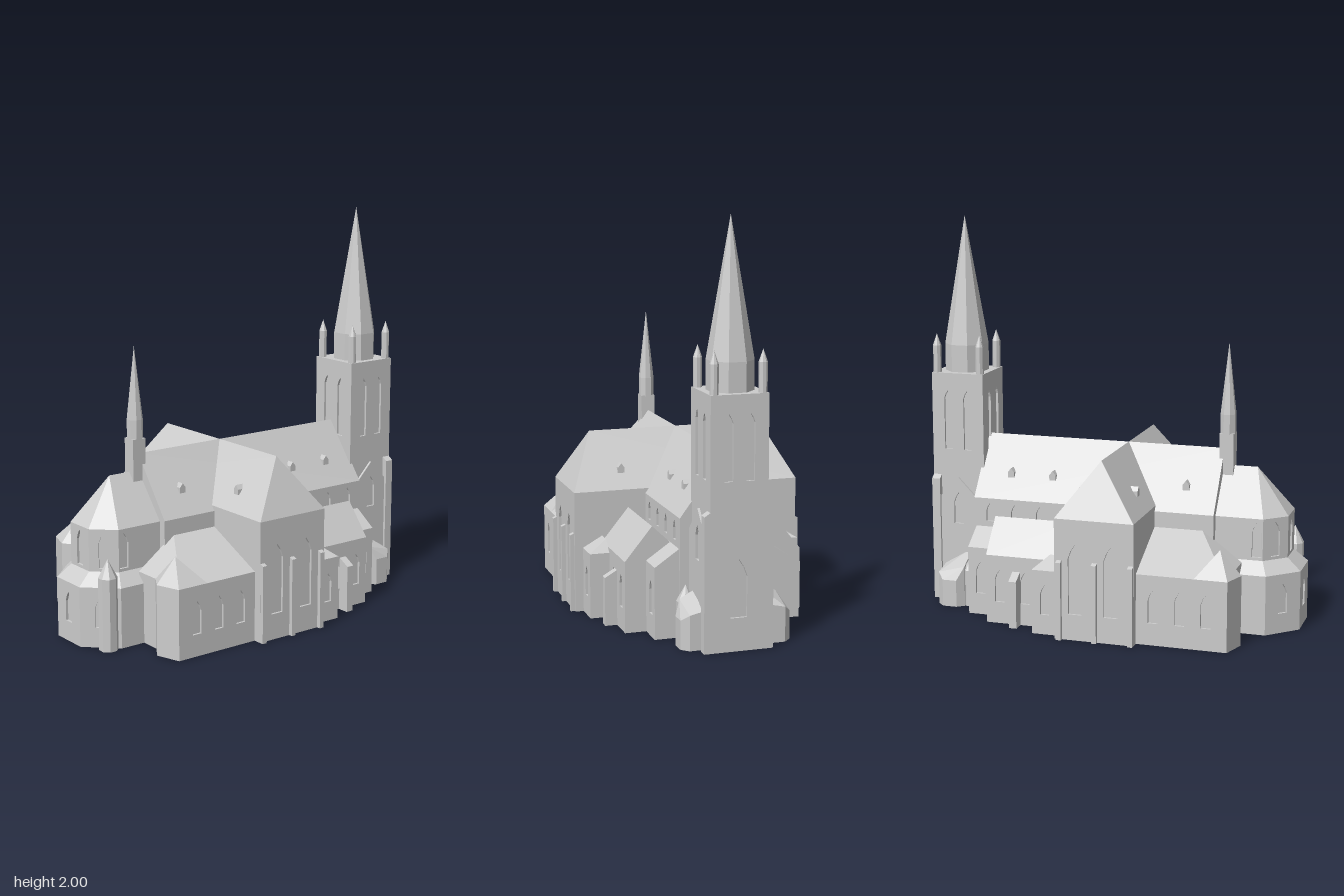
import * as THREE from 'three';
import { ConvexGeometry } from 'three/addons/geometries/ConvexGeometry.js';

const stone = new THREE.MeshStandardMaterial({ color: 0xcccccc, flatShading: true });
stone.name = 'pale stone';
const RECESS = 0.012;

function add(parent, name, geometry) {
  const mesh = new THREE.Mesh(geometry, stone);
  mesh.name = name;
  parent.add(mesh);
  return mesh;
}

function group(parent, name) {
  const g = new THREE.Group();
  g.name = name;
  parent.add(g);
  return g;
}

// Solid spanned by corner points [x, y, z]
const hull = (pts) => new ConvexGeometry(pts.map((p) => new THREE.Vector3(...p)));
const atHeight = (plan, y) => plan.map(([x, z]) => [x, y, z]);
const flipZ = (pts, s) => pts.map(([x, y, z]) => [x, y, s * z]);

const polygon = (pts) => new THREE.Shape(pts.map((p) => new THREE.Vector2(...p)));

// Pointed window outline: centre u, width w, from y0 to the tip y1
function lancet([u, w, y0, y1]) {
  const h = w / 2;
  return polygon([[u - h, y0], [u + h, y0], [u + h, y1 - w], [u + h * 0.6, y1 - w * 0.45],
    [u, y1], [u - h * 0.6, y1 - w * 0.45], [u - h, y1 - w]]);
}

// Upright wall from plan point a to b, with recessed windows; outline may replace the rectangle
function wall(parent, a, b, y0, y1, windows = [], outline = null) {
  const d = new THREE.Vector3(b[0] - a[0], 0, b[1] - a[1]);
  const h = d.length() / 2;
  d.normalize();
  const up = new THREE.Vector3(0, 1, 0);
  const n = d.clone().cross(up);
  const corners = outline || [[-h, y0], [h, y0], [h, y1], [-h, y1]];
  const shape = polygon(corners);
  shape.holes = windows.map(lancet);
  const pieces = [
    add(parent, 'wall', new THREE.ExtrudeGeometry(shape, { depth: RECESS, bevelEnabled: false })),
  ];
  if (windows.length) pieces.push(add(parent, 'windowRecess', new THREE.ShapeGeometry(polygon(corners))));
  for (const m of pieces) {
    const mid = new THREE.Vector3((a[0] + b[0]) / 2, 0, (a[1] + b[1]) / 2);
    m.applyMatrix4(new THREE.Matrix4().makeBasis(d, up, n).setPosition(mid.addScaledVector(n, -RECESS)));
  }
}

// Walls round a plan of [x, z] points; windows are listed by edge number; s = -1 mirrors to the back
function body(parent, name, plan, y0, y1, windows = {}, s = 1) {
  const g = group(parent, name);
  const pts = plan.map(([x, z]) => [x, s * z]);
  plan.forEach((_, i) => {
    const a = pts[i];
    const b = pts[(i + 1) % pts.length];
    const list = (windows[i] || []).map(([u, ...r]) => [s * u, ...r]);
    if (s > 0) wall(g, a, b, y0, y1, list);
    else wall(g, b, a, y0, y1, list);
  });
  const floor = new THREE.ShapeGeometry(polygon(pts));
  floor.rotateX(Math.PI / 2);
  add(g, 'floor', floor.translate(0, y0, 0));
  return g;
}

const rect = (x0, x1, z0, z1) => [[x0, z1], [x1, z1], [x1, z0], [x0, z0]];

// Eight-sided shaft with a pointed roof
function turret(parent, name, x, z, r, y0, yEave, yTip) {
  const g = group(parent, name);
  const shaft = new THREE.CylinderGeometry(r, r, yEave - y0, 8).rotateY(Math.PI / 8);
  add(g, 'shaft', shaft.translate(x, (y0 + yEave) / 2, z));
  const cone = new THREE.ConeGeometry(r, yTip - yEave, 8).rotateY(Math.PI / 8);
  add(g, 'spire', cone.translate(x, (yEave + yTip) / 2, z));
}

// Block whose top slopes from yBack down to yFront
function buttress(parent, x, w, zBack, zFront, yBack, yFront) {
  const pts = [];
  for (const px of [x - w / 2, x + w / 2]) {
    pts.push([px, 0, zBack], [px, yBack, zBack], [px, 0, zFront], [px, yFront, zFront]);
  }
  add(parent, 'buttress', hull(pts));
}

// Small gabled roof window, facing along `angle` about y
function dormer(parent, x, y, z, angle) {
  const pts = [];
  for (const pz of [-0.06, 0.015]) {
    pts.push([-0.017, -0.015, pz], [0.017, -0.015, pz], [0.017, 0.012, pz], [-0.017, 0.012, pz], [0, 0.033, pz]);
  }
  const m = add(parent, 'dormer', hull(pts));
  m.position.set(x, y, z);
  m.rotation.y = angle;
}

export function createModel() {
  const church = new THREE.Group();
  church.name = 'church';

  // Nave with clerestory windows
  const clerestory = [0.21, 0.345, 0.48, 0.615].map((x) => [x - 0.07, 0.04, 0.46, 0.555]);
  const nave = body(church, 'nave', rect(-0.56, 0.7, -0.22, 0.22), 0, 0.58,
    { 0: clerestory, 2: clerestory.map(([u, ...r]) => [-u, ...r]) });
  add(nave, 'naveRoof', hull([...atHeight(rect(-0.56, 0.7, -0.22, 0.22), 0.58), [-0.56, 0.875, 0], [0.7, 0.875, 0]]));

  // Transept with hipped ends
  const tall = [[-0.095, 0.07, 0.13, 0.48], [0.085, 0.07, 0.13, 0.48]];
  const crossPlan = rect(-0.26, 0.14, -0.585, 0.585);
  const transept = body(church, 'transept', crossPlan, 0, 0.605, { 0: tall, 2: tall });
  add(transept, 'transeptRoof', hull([...atHeight(crossPlan, 0.605), [-0.06, 0.875, 0.455], [-0.06, 0.875, -0.455]]));

  // Choir, polygonal apse and the lower ambulatory round it
  const outer = [[-0.56, -0.24], [-0.83, -0.24], [-0.975, -0.1], [-0.975, 0.1], [-0.83, 0.24], [-0.56, 0.24]];
  const inner = [[-0.56, -0.18], [-0.8, -0.18], [-0.905, -0.08], [-0.905, 0.08], [-0.8, 0.18], [-0.56, 0.18]];
  const low = [[0, 0.05, 0.1, 0.25]];
  const high = [[0, 0.05, 0.375, 0.55]];
  const ambulatory = body(church, 'ambulatory', outer, 0, 0.3, { 1: low, 2: low, 3: low });
  add(ambulatory, 'ambulatoryRoof', hull([...atHeight(outer, 0.3), ...atHeight(inner, 0.36)]));
  const choir = body(church, 'choir', inner, 0.3, 0.57, {
    0: [[0.09, 0.05, 0.375, 0.55]], 1: high, 2: high, 3: high, 4: [[-0.09, 0.05, 0.375, 0.55]],
  });
  add(choir, 'choirRoof', hull([...atHeight(inner, 0.57), [-0.73, 0.79, 0], [-0.56, 0.79, 0]]));
  turret(church, 'stairTurret', -0.885, 0.21, 0.047, 0, 0.36, 0.45);

  // Ridge turret
  add(church, 'ridgeTurretBase', new THREE.BoxGeometry(0.072, 0.4, 0.072).translate(-0.577, 0.755, 0));
  turret(church, 'ridgeTurret', -0.577, 0, 0.04, 0.95, 1.05, 1.41);

  // Side parts, front and back
  for (const s of [1, -1]) {
    const side = group(church, s > 0 ? 'frontSide' : 'backSide');
    const roof = (parent, name, pts) => add(parent, name, hull(flipZ(pts, s)));

    // Side chapel beside the choir
    const chapelPlan = [[-0.7, 0.2], [-0.7, 0.34], [-0.75, 0.42], [-0.71, 0.543], [-0.26, 0.543], [-0.26, 0.2]];
    const choirChapel = body(side, 'choirChapel', chapelPlan, 0, 0.35,
      { 3: [-0.12, 0.01, 0.14].map((u) => [u, 0.05, 0.11, 0.275]) }, s);
    roof(choirChapel, 'chapelRoof', [...atHeight(rect(-0.7, -0.26, 0.2, 0.543), 0.35),
      [-0.5, 0.505, 0.21], [-0.26, 0.505, 0.21]]);
    roof(choirChapel, 'chapelEndRoof', [[-0.7, 0.35, 0.34], [-0.75, 0.35, 0.42], [-0.71, 0.35, 0.543],
      [-0.545, 0.35, 0.543], [-0.56, 0.35, 0.34], [-0.645, 0.47, 0.425]]);

    // Aisle with lean-to roof
    const aisle = body(side, 'aisle', rect(0.14, 0.69, 0.2, 0.34), 0, 0.35, { 0: [[0.21, 0.05, 0.11, 0.275]] }, s);
    roof(aisle, 'aisleRoof', [...atHeight(rect(0.14, 0.69, 0.215, 0.34), 0.35), [0.14, 0.435, 0.215], [0.69, 0.435, 0.215]]);

    // Gabled nave chapel
    const naveChapel = body(side, 'naveChapel', rect(0.14, 0.55, 0.22, 0.445), 0, 0.35,
      { 0: [[0, 0.05, 0.11, 0.275], [0.135, 0.05, 0.11, 0.275]] }, s);
    roof(naveChapel, 'naveChapelRoof', [0.14, 0.55].flatMap((x) => [
      [x, 0.35, 0.445], [x, 0.515, 0.31], [x, 0.43, 0.22], [x, 0.35, 0.22]]));
    buttress(side, 0.39, 0.04, s * 0.4, s * 0.505, 0.3, 0.24);

    // Vestibule in the corner of the transept
    const vestibule = body(side, 'vestibule', rect(0.14, 0.273, 0.4, 0.543), 0, 0.325,
      { 0: [[0, 0.045, 0.1, 0.25]] }, s);
    roof(vestibule, 'vestibuleRoof', [...atHeight(rect(0.14, 0.273, 0.44, 0.543), 0.325),
      [0.14, 0.38, 0.445], [0.21, 0.38, 0.445]]);

    // Transept buttresses
    for (const x of [-0.247, -0.065, 0.115]) buttress(side, x, 0.025, s * 0.56, s * 0.605, 0.41, 0.39);

    // Dormers on the nave and transept roofs
    for (const x of [-0.4, 0.3, 0.525]) dormer(side, x, 0.695, s * 0.135, s > 0 ? 0 : Math.PI);
    dormer(side, -0.195, 0.695, s * 0.33, -Math.PI / 2);
    dormer(side, 0.075, 0.695, s * 0.33, Math.PI / 2);

    // Low porch and small round annex at the foot of the tower
    const porch = [[0.755, 0.1, 0.285], [0.755, 0.24, 0.21], [0.79, 0.27, 0.14], [0.865, 0.27, 0.14],
      [0.9, 0.235, 0.17], [0.9, 0.1, 0.2]];
    roof(side, 'porch', porch.flatMap(([x, z, y]) => [[x, 0, z], [x, y, z]]));
    turret(side, 'annex', 0.728, s * 0.2, 0.045, 0, 0.19, 0.27);

    // Gabled panel and corner buttress on the tower
    const face = 0.02 + s * 0.155;
    const [a, b] = s > 0 ? [[0.7, face], [0.945, face]] : [[0.945, face], [0.7, face]];
    wall(side, a, b, 0, 0, [[0, 0.052, 0.41, 0.575]],
      [[-0.122, 0], [0.122, 0], [0.122, 0.53], [0, 0.655], [-0.122, 0.53]]);
    buttress(side, 0.943, 0.044, 0.02 + s * 0.1, 0.02 + s * 0.168, 0.69, 0.645);
  }

  // West tower
  const belfry = [[-0.0525, 0.042, 0.8, 1.11], [0.0525, 0.042, 0.8, 1.11]];
  const towerPlan = rect(0.685, 0.965, -0.12, 0.16);
  const tower = body(church, 'tower', towerPlan, 0, 1.2,
    { 0: belfry, 1: [...belfry, [0, 0.08, 0.16, 0.435]], 2: belfry, 3: belfry });
  add(tower, 'towerDeck', hull([...atHeight(towerPlan, 1.19), ...atHeight(towerPlan, 1.2)]));
  turret(tower, 'mainSpire', 0.825, 0.02, 0.112, 1.2, 1.34, 2);
  for (const x of [0.708, 0.942]) {
    for (const z of [-0.097, 0.137]) turret(tower, 'pinnacle', x, z, 0.021, 1.19, 1.34, 1.4);
  }

  return church;
}
